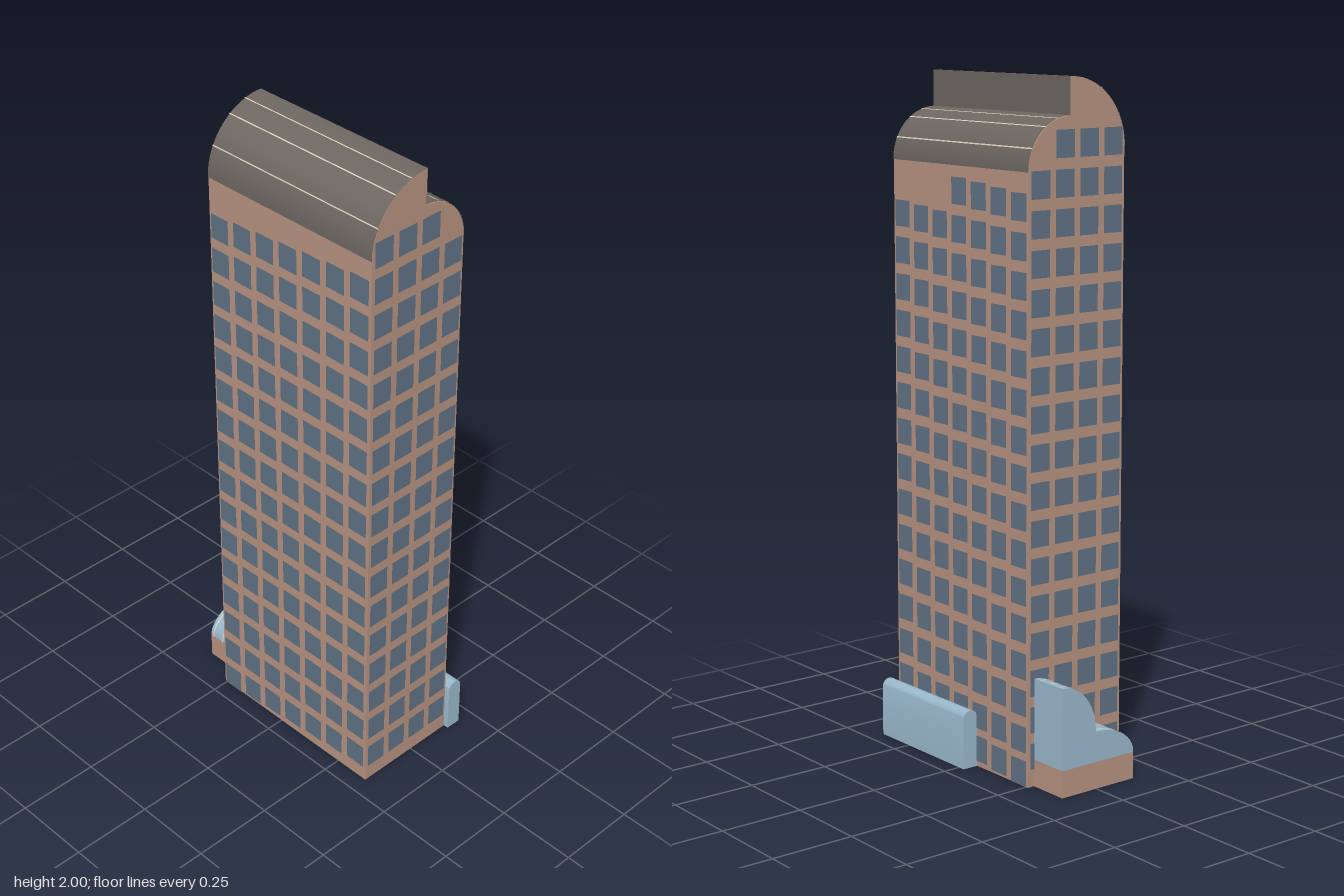
import * as THREE from 'three';
import { mergeGeometries, toCreasedNormals } from 'three/addons/utils/BufferGeometryUtils.js';

const paint = (name, color, side = THREE.FrontSide) => {
  const m = new THREE.MeshStandardMaterial({ color, side });
  m.name = name;
  return m;
};

// Points [z, y] on an elliptical arc; angle 0 faces the front, 90 is the top, 180 the back
function arc(cz, cy, rz, ry, from, to, n = 20) {
  return Array.from({ length: n + 1 }, (_, i) => {
    const a = THREE.MathUtils.degToRad(from + (to - from) * i / n);
    return [cz + rz * Math.cos(a), cy + ry * Math.sin(a)];
  });
}

// Solid with a [z, y] outline running from x0 to x1
function prism(outline, x0, x1) {
  const shape = new THREE.Shape(outline.map(([z, y]) => new THREE.Vector2(z, y)));
  const geo = new THREE.ExtrudeGeometry(shape, { depth: x1 - x0, bevelEnabled: false });
  geo.rotateY(-Math.PI / 2).translate(x1, 0, 0);
  return toCreasedNormals(geo, 0.5);
}

// Thin skin following a [z, y] path from front to back
function skin(path, x0, x1) {
  const pos = [], index = [];
  path.forEach(([z, y], i) => {
    pos.push(x0, y, z, x1, y, z);
    const k = i * 2;
    if (i < path.length - 1) index.push(k, k + 1, k + 2, k + 1, k + 3, k + 2);
  });
  const geo = new THREE.BufferGeometry();
  geo.setAttribute('position', new THREE.Float32BufferAttribute(pos, 3));
  geo.setIndex(index);
  geo.computeVertexNormals();
  return geo;
}

export function createModel() {
  const model = new THREE.Group();
  model.name = 'officeTower';
  const brick = paint('brick', 0xb5917f);
  const glass = paint('windowGlass', 0x5f7184);
  const roof = paint('roofMetal', 0x6c6560, THREE.DoubleSide);
  const paleGlass = paint('paleBlueGlass', 0x98b6ca);
  const cream = paint('creamTrim', 0xd9ccb6, THREE.DoubleSide);
  const add = (name, geo, mat) => {
    const mesh = new THREE.Mesh(geo, mat);
    mesh.name = name;
    model.add(mesh);
  };

  // Tower: two quarter-round roofs of different heights, back to back
  const X0 = -0.258, X1 = 0.366, F = 0.195, B = 0.147, FY = 1.805, BY = 1.746;
  add('towerBody', prism([
    [F, 0], ...arc(0, FY, F, F, 0, 90), ...arc(0, BY, B, B, 90, 180), [-B, 0],
  ], X0, X1), brick);
  const e = 0.002;
  add('frontRoof', skin(arc(0, FY, F + e, F, 0, 90), X0, X1), roof);
  add('backRoof', skin(arc(0, BY, B + e, B + e, 90, 180), X0, X1), roof);
  add('roofStepWall', skin([[-e, FY + F], [-e, BY + B]], X0, X1), roof);

  // Pale seams along the roofs
  const seams = [];
  for (const z of [0.057, 0.112, 0.174, -0.046, -0.087, -0.133]) {
    const front = z > 0, r = front ? F : B, cy = front ? FY : BY;
    const a = THREE.MathUtils.radToDeg(Math.acos(z / r));
    const half = front ? 0.5 : 0.75;
    seams.push(skin(arc(0, cy, r + 0.003, r + 0.003, a - half, a + half, 1), X0, X1));
  }
  add('roofSeams', mergeGeometries(seams), cream);

  // Windows on the four walls; front and back rows step upward toward +x
  const W = 0.068, H = 0.077, PITCH = 0.108, out = 0.002;
  const front = [], back = [], left = [], right = [];
  const pane = (list, w, turn, x, y, z) =>
    list.push(new THREE.PlaneGeometry(w, H).rotateY(turn).translate(x, y, z));
  for (let col = 0; col < 7; col++) {
    const x = -0.217 + col * 0.09;
    for (let row = 0; row < 16; row++) {
      const y = 1.697 + col * 0.0081 - H / 2 - row * PITCH;
      pane(front, W, 0, x, y, F + out);
      if (row > 0 || col < 4) pane(back, W, Math.PI, x, y - 0.008 + (row === 15 ? 0.008 : 0), -B - out);
    }
  }
  for (let col = 0; col < 4; col++) {
    const z = 0.153 - col * 0.0865;
    for (let row = col === 3 ? 1 : 0; row < 17; row++) {
      const y = 1.857 - H / 2 - row * PITCH;
      pane(left, 0.066, Math.PI / 2, X1 + out, y, z);
      pane(right, 0.066, -Math.PI / 2, X0 - out, y, z);
    }
  }
  add('frontWindows', mergeGeometries(front), glass);
  add('backWindows', mergeGeometries(back), glass);
  add('leftWindows', mergeGeometries(left), glass);
  add('rightWindows', mergeGeometries(right), glass);

  // Stepped glass annex on a brick base
  const A0 = -0.384, base = 0.08;
  add('annexBase', prism([[0.14, 0], [0.14, base], [-0.125, base], [-0.125, 0]], A0, X0), brick);
  add('annexGlass', prism([
    ...arc(0, base, 0.14, 0.09, 0, 90),
    ...arc(-0.125, 0.17, 0.123, 0.15, 0, 90), [-0.125, base],
  ], A0, X0), paleGlass);
  const ribs = [];
  for (const x of [-0.371, -0.329, -0.288]) {
    ribs.push(skin(arc(0, base, 0.142, 0.092, 0, 90), x - 0.0025, x + 0.0025));
    ribs.push(skin(arc(-0.125, 0.17, 0.125, 0.152, 0, 90), x - 0.0025, x + 0.0025));
  }
  add('annexRibs', mergeGeometries(ribs), cream);

  // Round-topped glass gallery along the back
  add('backGallery', prism([
    [-0.148, 0], ...arc(-0.1725, 0.15, 0.0245, 0.0245, 0, 180), [-0.197, 0],
  ], -0.022, 0.382), paleGlass);

  return model;
}
